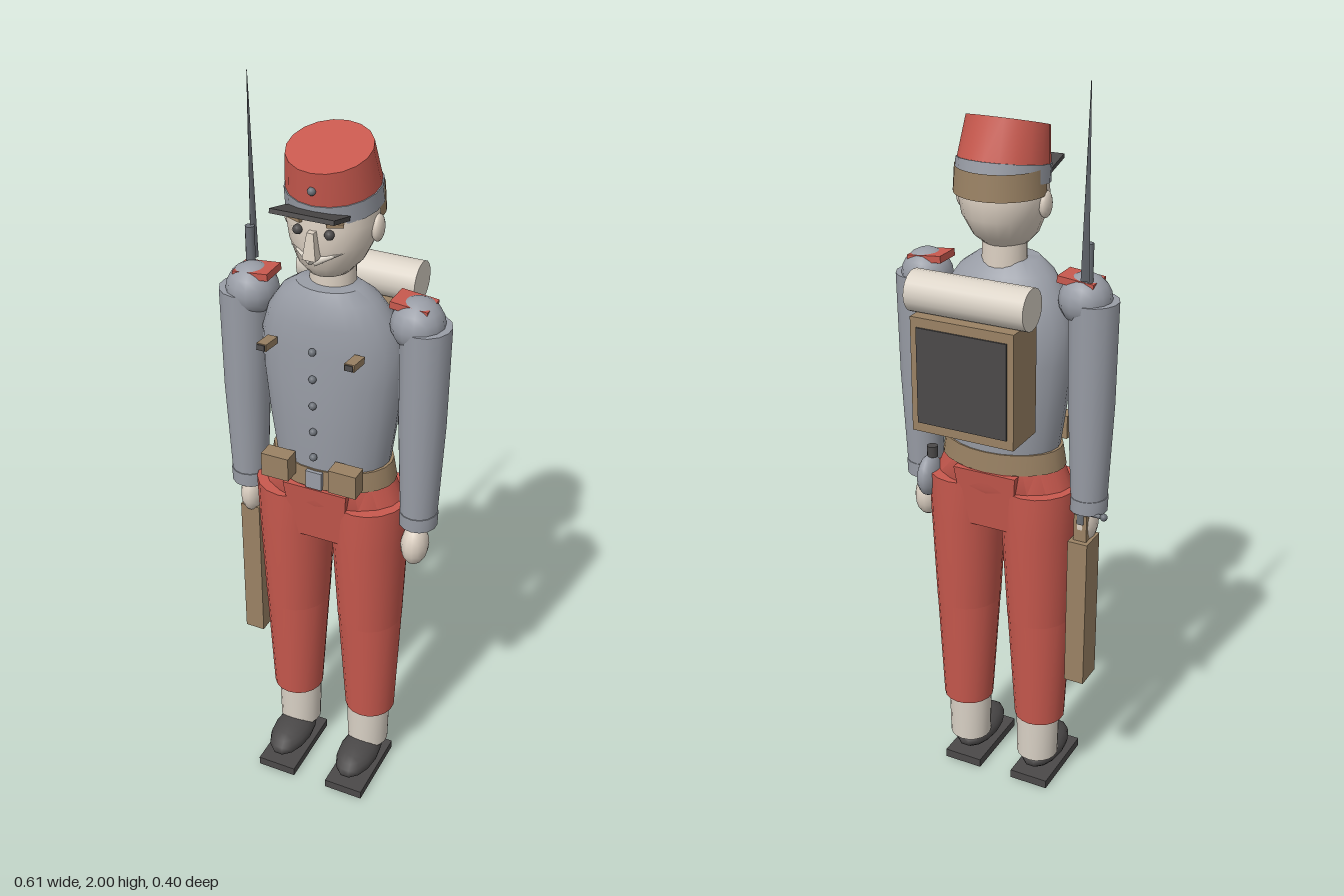
import * as THREE from 'three';
import { toCreasedNormals } from 'three/addons/utils/BufferGeometryUtils.js';

const mat = (name, color, side = THREE.FrontSide) => {
  const m = new THREE.MeshStandardMaterial({ color, side });
  m.name = name;
  return m;
};

export function createModel() {
  const model = new THREE.Group();
  model.name = 'toySoldier';

  const red = mat('red cloth', 0xc8594e);
  const grey = mat('grey cloth', 0x999da6);
  const cream = mat('cream canvas', 0xdad2c6);
  const skin = mat('skin', 0xdcd0c2);
  const brown = mat('brown leather', 0x9a8264);
  const hairMat = mat('brown hair', 0x9a8264, THREE.DoubleSide);
  const dark = mat('black leather', 0x4b4949);
  const metal = mat('steel', 0x6c7178);

  const add = (name, geo, material, x = 0, y = 0, z = 0, parent = model) => {
    const m = new THREE.Mesh(geo, material);
    m.name = name;
    m.position.set(x, y, z);
    parent.add(m);
    return m;
  };
  const box = (name, material, w, h, d, x, y, z, parent) =>
    add(name, new THREE.BoxGeometry(w, h, d), material, x, y, z, parent);
  const ball = (name, material, rx, ry, rz, x, y, z, parent) =>
    add(name, new THREE.SphereGeometry(1, 14, 10).scale(rx, ry, rz), material, x, y, z, parent);
  const rod = (name, material, r0, r1, h, x, y, z, sides = 10, parent = model) =>
    add(name, new THREE.CylinderGeometry(r1, r0, h, sides), material, x, y, z, parent);

  // Elliptical loft through rings [y, rx, rz, cx, cz], listed from top to bottom
  const loft = (name, material, rings, sides = 18, parent = model) => {
    const n = rings.length - 1;
    const geo = new THREE.CylinderGeometry(1, 1, 1, sides, n);
    const p = geo.attributes.position;
    for (let i = 0; i < p.count; i++) {
      const [y, rx, rz, cx = 0, cz = 0.03] = rings[Math.round((0.5 - p.getY(i)) * n)];
      p.setXYZ(i, cx + p.getX(i) * rx, y, cz + p.getZ(i) * rz);
    }
    return add(name, toCreasedNormals(geo, 0.7), material, 0, 0, 0, parent);
  };

  // Jacket, neck and belt
  loft('jacket', grey, [
    [1.545, 0.083, 0.062, 0, 0.053], [1.515, 0.125, 0.085, 0, 0.045], [1.46, 0.163, 0.105, 0, 0.037],
    [1.39, 0.186, 0.115], [1.3, 0.185, 0.118], [1.17, 0.17, 0.117], [1.04, 0.152, 0.108],
  ], 24);
  loft('neck', skin, [[1.64, 0.055, 0.052], [1.53, 0.058, 0.054]]);
  loft('belt', brown, [[1.058, 0.162, 0.113], [1.003, 0.172, 0.115]], 24);
  box('buckle', grey, 0.044, 0.05, 0.012, 0, 1.03, 0.146);
  [1.4, 1.325, 1.25, 1.175, 1.1].forEach(y => ball('button', metal, 0.01, 0.01, 0.01, 0, y, 0.15));

  // Trouser seat
  loft('seat', red, [[1.02, 0.16, 0.112], [0.95, 0.19, 0.115], [0.92, 0.17, 0.1]], 20);
  const crotch = new THREE.CylinderGeometry(0.125, 0.1, 0.17, 4).rotateY(Math.PI / 4).scale(1, 1, 1.34);
  add('crotch', crotch.toNonIndexed(), red, 0, 0.915, 0.031).geometry.computeVertexNormals();

  for (const s of [-1, 1]) {
    // Legs and footwear
    loft('thigh', red, [[0.95, 0.105, 0.116, s * 0.105], [0.83, 0.1, 0.112, s * 0.106],
      [0.55, 0.088, 0.092, s * 0.109]]);
    loft('shin', red, [[0.56, 0.088, 0.092, s * 0.109], [0.22, 0.07, 0.07, s * 0.113]]);
    loft('gaiter', cream, [[0.23, 0.061, 0.061, s * 0.108], [0.085, 0.058, 0.058, s * 0.108]]);
    ball('shoe', dark, 0.056, 0.042, 0.108, s * 0.106, 0.066, 0.087);
    box('sole', dark, 0.112, 0.025, 0.225, s * 0.106, 0.0125, 0.0875);

    // Arms
    ball('shoulder', grey, 0.067, 0.067, 0.068, s * 0.22, 1.47, 0.03);
    loft('sleeve', grey, [[1.47, 0.064, 0.067, s * 0.241, 0.032], [1.2, 0.06, 0.062, s * 0.242, 0.034],
      [0.9, 0.047, 0.048, s * 0.242, 0.036]], 14);
    loft('cuff', grey, [[0.94, 0.051, 0.052, s * 0.242, 0.036], [0.9, 0.05, 0.05, s * 0.242, 0.036]], 14);
    const r = s > 0 ? 0.036 : 0.03;
    ball('hand', skin, r, 0.06, 0.045, s * 0.236, s > 0 ? 0.83 : 0.86, 0.038);
    box('epaulette', red, 0.096, 0.018, 0.075, s * 0.208, 1.518, 0.028).rotation.z = -s * 0.1;

    // Front pouches and strap hooks
    box('pouch', brown, 0.075, 0.065, 0.045, s * 0.093, 1.063, 0.16);
    const hook = box('strapHook', brown, 0.026, 0.018, 0.06, s * 0.115, 1.403, 0.16);
    hook.rotation.x = -0.12;
    box('hookTip', dark, 0.02, 0.014, 0.006, 0, 0, 0.031, hook);
  }

  // Head and face
  loft('head', skin, [
    [1.78, 0.105, 0.105, 0, 0.025], [1.71, 0.113, 0.113, 0, 0.026], [1.66, 0.103, 0.111, 0, 0.028],
    [1.61, 0.08, 0.092, 0, 0.037], [1.58, 0.052, 0.06, 0, 0.045], [1.57, 0.025, 0.03, 0, 0.045],
  ], 20);
  const nose = new THREE.CylinderGeometry(0.012, 0.024, 0.065, 4).rotateY(Math.PI / 4);
  add('nose', toCreasedNormals(nose, 0.5), skin, 0, 1.677, 0.146);
  for (const s of [-1, 1]) {
    ball('ear', skin, 0.014, 0.034, 0.026, s * 0.112, 1.692, 0.025);
    ball('eye', dark, 0.012, 0.012, 0.012, s * 0.04, 1.705, 0.136);
    box('eyebrow', brown, 0.04, 0.008, 0.012, s * 0.05, 1.727, 0.127).rotation.y = s * 0.4;
    const whisker = add('moustache', new THREE.ConeGeometry(0.011, 0.075, 8), cream, s * 0.036, 1.645, 0.128);
    whisker.rotation.set(0, s * 0.35, -s * 1.25);
  }
  add('hair', new THREE.CylinderGeometry(0.113, 0.117, 0.065, 18, 1, true, Math.PI / 2 - 0.1, Math.PI + 0.2),
    hairMat, 0, 1.748, 0.012);

  // Cap, leaning forward
  const cap = new THREE.Group();
  cap.name = 'cap';
  cap.position.set(0, 1.765, 0.022);
  cap.rotation.x = 0.16;
  model.add(cap);
  rod('capBand', grey, 0.117, 0.116, 0.045, 0, 0, 0, 18, cap);
  const crown = new THREE.CylinderGeometry(0.102, 0.114, 0.1, 18);
  const cp = crown.attributes.position;
  for (let i = 0; i < cp.count; i++) {
    if (cp.getY(i) > 0) cp.setXYZ(i, cp.getX(i), cp.getY(i) - cp.getZ(i) * 0.11, cp.getZ(i) + 0.008);
  }
  add('capCrown', toCreasedNormals(crown, 0.7), red, 0, 0.065, 0, cap);
  ball('capStud', metal, 0.01, 0.01, 0.01, 0, 0.06, 0.113, cap);
  box('visor', dark, 0.16, 0.011, 0.088, 0, 1.755, 0.154).rotation.x = -0.27;

  // Knapsack and bedroll
  box('knapsack', brown, 0.28, 0.3, 0.123, 0, 1.29, -0.137);
  box('knapsackFlap', dark, 0.245, 0.25, 0.006, 0, 1.29, -0.2);
  rod('bedroll', cream, 0.053, 0.053, 0.32, 0, 1.487, -0.142, 20).rotation.z = Math.PI / 2;

  // Canteen on the left hip
  ball('canteen', grey, 0.028, 0.058, 0.05, 0.19, 0.93, -0.035);
  rod('canteenCap', dark, 0.015, 0.015, 0.03, 0.183, 1.0, -0.03);

  // Rifle held upright in the right hand
  box('rifleButt', brown, 0.055, 0.43, 0.08, -0.237, 0.605, 0.02);
  box('rifleWrist', brown, 0.036, 0.09, 0.05, -0.237, 0.85, 0.02);
  rod('rifleBarrel', metal, 0.013, 0.012, 0.75, -0.237, 1.245, 0.003);
  rod('bayonet', metal, 0.013, 0.001, 0.47, -0.237, 1.765, -0.01, 3);
  rod('boltHandle', metal, 0.006, 0.006, 0.07, -0.27, 0.9, 0.005, 8).rotation.z = Math.PI / 2;
  ball('boltKnob', metal, 0.01, 0.01, 0.01, -0.298, 0.9, 0.005);

  return model;
}
